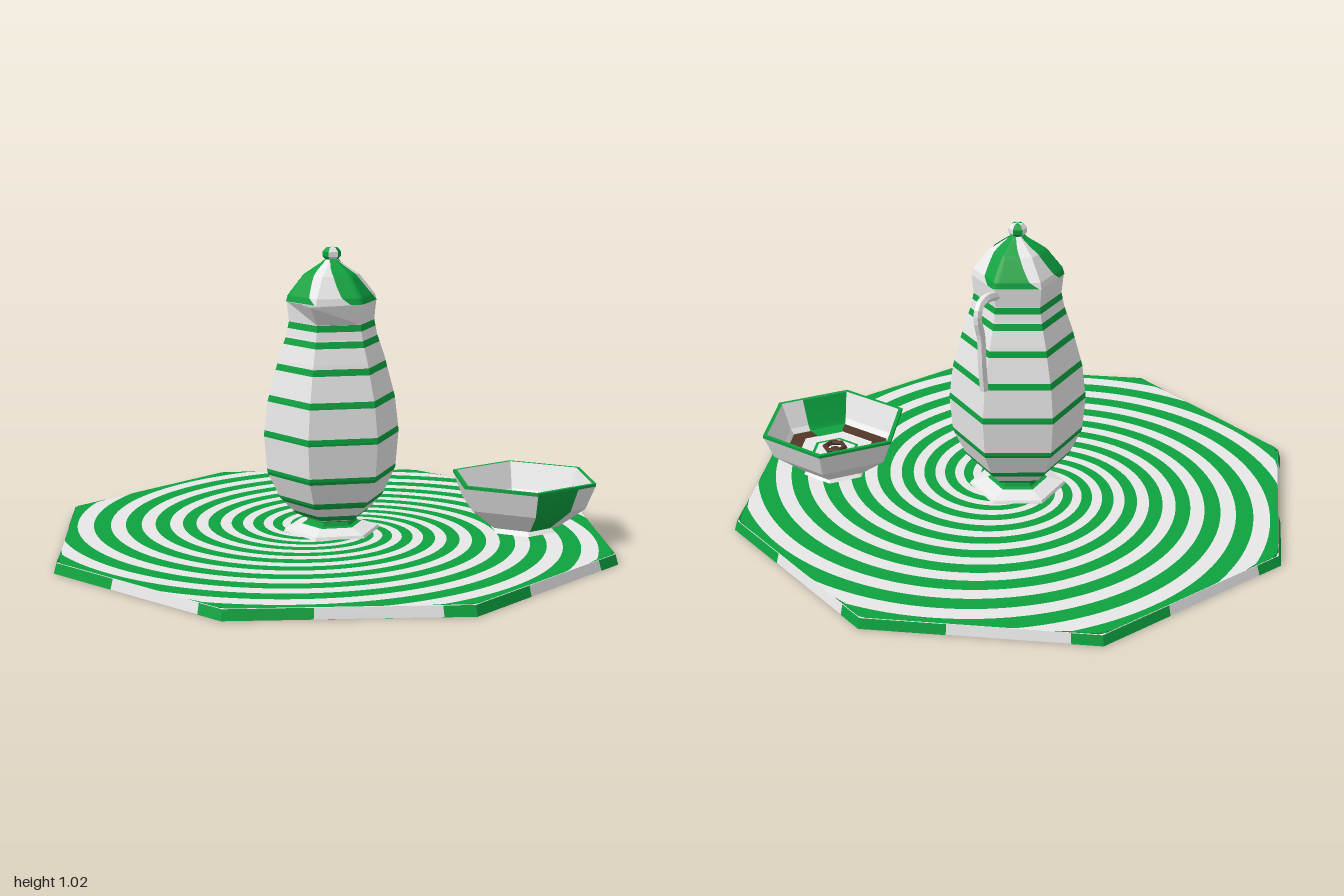
import * as THREE from 'three';

const mat = (name, color) => Object.assign(new THREE.MeshStandardMaterial({ color, side: THREE.DoubleSide }), { name });
const TAU = Math.PI * 2;

export function createModel() {
  const white = mat('porcelain white', 0xeeeeee);
  const green = mat('stripe green', 0x0ca23f);
  const brown = mat('dark brown', 0x523628);
  const model = new THREE.Group();

  const add = (parent, name, geometry, material) => {
    const mesh = new THREE.Mesh(geometry, material);
    mesh.name = name;
    parent.add(mesh);
    return mesh;
  };
  const group = (name) => {
    const g = new THREE.Group();
    g.name = name;
    model.add(g);
    return g;
  };
  const facet = (geometry) => {
    const g = geometry.index ? geometry.toNonIndexed() : geometry;
    g.computeVertexNormals();
    return g;
  };
  // six-sided turned part from [radius, height] pairs
  const turned = (points, segments = 6, start = 0, length = TAU) =>
    facet(new THREE.LatheGeometry(points.map(([r, y]) => new THREE.Vector2(r, y)), segments, start, length));
  // surface patch from a rule f(u, v) -> [x, y, z]
  const patch = (nu, nv, f) => {
    const pos = [], idx = [];
    for (let i = 0; i <= nu; i++) for (let j = 0; j <= nv; j++) pos.push(...f(i / nu, j / nv));
    for (let i = 0; i < nu; i++) for (let j = 0; j < nv; j++) {
      const a = i * (nv + 1) + j, b = a + nv + 1;
      idx.push(a, a + 1, b, b, a + 1, b + 1);
    }
    const g = new THREE.BufferGeometry();
    g.setAttribute('position', new THREE.Float32BufferAttribute(pos, 3));
    g.setIndex(idx);
    g.computeVertexNormals();
    return g;
  };
  // radius of a regular polygon (corner radius 1) in a given direction
  const polyRadius = (angle, sides) => {
    const step = TAU / sides;
    const a = ((angle % step) + step) % step;
    return Math.cos(step / 2) / Math.cos(a - step / 2);
  };
  const clampToTray = (x, z, size) => {
    const r = Math.hypot(x, z), max = size * polyRadius(Math.atan2(z, x), 8);
    const k = r > max ? max / r : 1;
    return [x * k, z * k];
  };

  // Tray: octagonal slab
  const tray = group('tray');
  add(tray, 'traySlab', facet(new THREE.CylinderGeometry(0.99, 1, 0.034, 8)), white).position.y = 0.018;
  // eight swirl stripes on the tray top, each ending in a green corner
  const turns = (r) => Math.log((0.055 + 0.075 * r) / 0.13) / 0.075;
  for (let k = 0; k < 8; k++) {
    add(tray, 'swirlStripe', patch(140, 12, (u, v) => {
      const r = 0.06 + 0.94 * u;
      const angle = (k - 0.5 + v * 0.52 - turns(r)) * TAU / 8;
      const [x, z] = clampToTray(r * Math.cos(-angle), r * Math.sin(-angle), 0.99);
      return [x, 0.0365, z];
    }), green);
    // green parts of each edge face
    const a = k * TAU / 8, b = a + TAU / 8;
    for (const [t0, t1] of [[0, 0.36], [0.87, 1]]) {
      add(tray, 'edgeStripe', patch(1, 1, (u, v) => {
        const t = t0 + (t1 - t0) * u, s = 1.002 - 0.01 * v;
        return [s * (Math.sin(a) * (1 - t) + Math.sin(b) * t), 0.001 + 0.034 * v,
          s * (Math.cos(a) * (1 - t) + Math.cos(b) * t)];
      }), green);
    }
  }
  // wide curved stripes under the tray
  for (let k = 0; k < 8; k++) {
    const outer = 2.36 * 0.82 ** k, inner = outer * 0.895;
    add(tray, 'undersideStripe', patch(80, 8, (u, v) => {
      const d = inner + (outer - inner) * v, a = Math.PI * (0.75 + u);
      const [x, z] = clampToTray(1.06 + d * Math.cos(a), 1.12 + d * Math.sin(a), 0.998);
      return [x, 0, z];
    }), green);
  }

  // Pot: six-sided body sliced into white and green bands
  const pot = group('pot');
  const profile = [[0.17, 0.036], [0.165, 0.046], [0.09, 0.066], [0.085, 0.08], [0.125, 0.1], [0.18, 0.155],
    [0.225, 0.25], [0.236, 0.38], [0.222, 0.5], [0.185, 0.64], [0.158, 0.72], [0.148, 0.77], [0.155, 0.838]];
  const radiusAt = (y) => {
    const i = Math.max(1, profile.findIndex((p) => p[1] >= y));
    const [r0, y0] = profile[i - 1], [r1, y1] = profile[i];
    return r0 + (r1 - r0) * (y - y0) / (y1 - y0);
  };
  const slice = (y0, y1) => [[radiusAt(y0), y0], ...profile.filter((p) => p[1] > y0 && p[1] < y1), [radiusAt(y1), y1]];
  let low = 0.036;
  for (const y of [0.073, 0.1, 0.155, 0.25, 0.385, 0.507, 0.615, 0.704, 0.758]) {
    add(pot, 'bodyBand', turned(slice(low, y - 0.011)), white);
    add(pot, 'bodyStripe', turned(slice(y - 0.011, y + 0.011)), green);
    low = y + 0.011;
  }
  // neck with its front corner pulled out to a spout
  const neck = turned(slice(low, 0.838));
  const np = neck.attributes.position;
  for (let i = 0; i < np.count; i++) {
    if (Math.abs(np.getX(i)) < 0.001 && np.getZ(i) > 0 && np.getY(i) > 0.8) np.setZ(i, 0.212);
  }
  neck.computeVertexNormals();
  add(pot, 'neckAndSpout', neck, white);

  // handle
  const handlePath = new THREE.CatmullRomCurve3([[0.81, -0.14], [0.825, -0.21], [0.815, -0.25], [0.77, -0.262],
    [0.7, -0.242], [0.6, -0.236], [0.5, -0.225]].map(([y, z]) => new THREE.Vector3(0, y, z)));
  add(pot, 'handle', facet(new THREE.TubeGeometry(handlePath, 20, 0.016, 6)), white);

  // lid with broad twisted patches
  const lid = [[0.156, 0.836], [0.15, 0.858], [0.095, 0.927], [0.035, 0.965], [0.018, 0.98]];
  add(pot, 'lid', turned([[0, 0.836], ...lid]), white);
  for (let k = 0; k < 3; k++) {
    add(pot, 'lidPatch', patch(24, 24, (u, v) => {
      const t = Math.min(u * 4, 3.999), i = Math.floor(t), f = t - i;
      const r = lid[i][0] + (lid[i + 1][0] - lid[i][0]) * f + 0.003;
      const y = lid[i][1] + (lid[i + 1][1] - lid[i][1]) * f + 0.002;
      const a = (k - 0.62 + v * 0.6) * TAU / 3 - u * 0.8, s = r * polyRadius(a, 6);
      return [s * Math.sin(a), y, s * Math.cos(a)];
    }), green);
  }
  // knob with alternating sides
  for (let k = 0; k < 6; k++) {
    add(pot, 'knobSide', turned([[0.018, 0.975], [0.032, 0.988], [0.032, 1.004], [0.02, 1.018], [0, 1.02]],
      1, k * TAU / 6, TAU / 6), k % 2 ? green : white);
  }

  // Bowl: hexagonal, with a green panel on one side, inside and out
  const bowl = group('bowl');
  bowl.position.set(0.625, 0, -0.225);
  bowl.rotation.y = 0.42;
  const side = TAU / 6;
  const shell = [[0.12, 0.036], [0.1, 0.05], [0.13, 0.058], [0.225, 0.13], [0.26, 0.214]];
  const lining = [[0.248, 0.222], [0.212, 0.13], [0.195, 0.11]];
  // thin green plate over part of the panelled side
  const panel = (name, points, offset) => add(bowl, name, patch(points.length - 1, 4, (u, v) => {
    const [r, y] = points[Math.round(u * (points.length - 1))];
    const a = v * side * 0.7, s = (r + offset) * polyRadius(a, 6);
    return [s * Math.sin(a), y, s * Math.cos(a)];
  }), green);
  add(bowl, 'shell', turned(shell), white);
  add(bowl, 'lining', turned(lining), white);
  panel('outerPanel', shell.slice(2), 0.003);
  panel('innerPanel', lining, -0.003);
  add(bowl, 'rim', turned([[0.261, 0.212], [0.261, 0.222], [0.246, 0.222]]), green);
  // ringed floor of the bowl
  const floorRing = (name, r0, r1, material, height = 0.112) =>
    add(bowl, name, turned([[r1, height], [r0, height]]), material);
  floorRing('brownRing', 0.14, 0.2, brown);
  floorRing('whiteRing', 0.088, 0.14, white);
  floorRing('greenRing', 0.076, 0.088, green);
  floorRing('floorCentre', 0, 0.076, white);
  panel('floorPanel', [[0.2, 0.115], [0.13, 0.115]], 0);
  const ring = add(bowl, 'centreRing', facet(new THREE.TorusGeometry(0.036, 0.009, 6, 6)), brown);
  ring.rotation.x = Math.PI / 2;
  ring.position.y = 0.122;
  floorRing('centreDot', 0, 0.018, brown, 0.116);

  return model;
}
